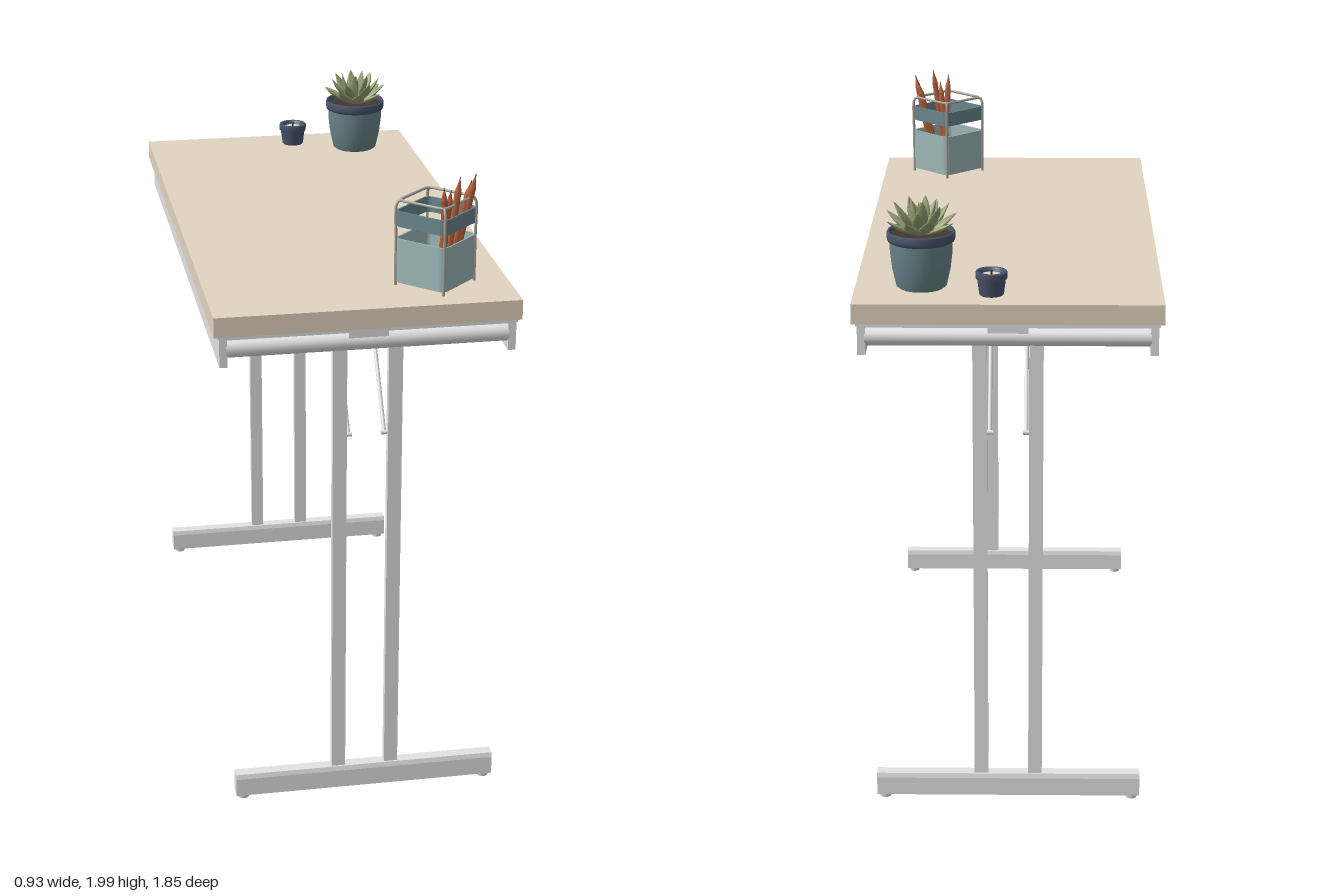
import * as THREE from 'three';

const mat = (name, color, side = THREE.FrontSide) => {
  const m = new THREE.MeshStandardMaterial({ color, side });
  m.name = name;
  return m;
};
const M = {
  top: mat('beige laminate', 0xe2d4c0),
  steel: mat('pale grey steel', 0xe3e3e3),
  under: mat('grey underside', 0xd4d4d4),
  box: mat('light teal', 0x9db8b9),
  teal: mat('dark teal', 0x6a868c),
  navy: mat('navy glaze', 0x4a566d),
  leaf: mat('leaf green', 0x96a273, THREE.DoubleSide),
  pencil: mat('rust pencil', 0xb5623c),
  wire: mat('warm grey wire', 0xa9a29a),
  dark: mat('dark brown', 0x43372f),
};
const V = (x, y, z) => new THREE.Vector3(x, y, z);

function add(parent, name, geo, material, x = 0, y = 0, z = 0) {
  const m = new THREE.Mesh(geo, material);
  m.name = name;
  m.position.set(x, y, z);
  parent.add(m);
  return m;
}
function group(parent, name, x = 0, y = 0, z = 0) {
  const g = new THREE.Group();
  g.name = name;
  g.position.set(x, y, z);
  parent.add(g);
  return g;
}
const box = (w, h, d) => new THREE.BoxGeometry(w, h, d);
const lathe = (pts, n = 36) => new THREE.LatheGeometry(pts.map(p => new THREE.Vector2(...p)), n);

// Cylinder or tapered bar between two points
function rod(parent, name, a, b, r, material, r2 = r, sides = 12) {
  const m = add(parent, name, new THREE.CylinderGeometry(r2, r, a.distanceTo(b), sides), material);
  m.position.copy(a).add(b).multiplyScalar(0.5);
  m.quaternion.setFromUnitVectors(V(0, 1, 0), b.clone().sub(a).normalize());
  return m;
}

// Square outline with rounded corners
function roundedSquare(path, s, r) {
  path.moveTo(s, -s + r);
  path.lineTo(s, s - r);
  path.absarc(s - r, s - r, r, 0, Math.PI / 2);
  path.lineTo(-s + r, s);
  path.absarc(-s + r, s - r, r, Math.PI / 2, Math.PI);
  path.lineTo(-s, -s + r);
  path.absarc(-s + r, -s + r, r, Math.PI, Math.PI * 1.5);
  path.lineTo(s - r, -s);
  path.absarc(s - r, -s + r, r, Math.PI * 1.5, Math.PI * 2);
  return path;
}
function squareTube(s, r, wall, h) {
  const shape = roundedSquare(new THREE.Shape(), s, r);
  if (wall) shape.holes.push(roundedSquare(new THREE.Path(), s - wall, r - wall));
  const g = new THREE.ExtrudeGeometry(shape, { depth: h, bevelEnabled: false, curveSegments: 8 });
  return g.rotateX(-Math.PI / 2);
}

// One end of the folding frame, facing +z
function legFrame(parent, name) {
  const g = group(parent, name);
  const z = 0.892;
  // Foot bar with slightly tapered upper edges
  const s = new THREE.Shape();
  [[-0.022, 0.013], [0.022, 0.013], [0.022, 0.072], [0.018, 0.087], [-0.018, 0.087], [-0.022, 0.072]]
    .forEach(([a, b], i) => (i ? s.lineTo(a, b) : s.moveTo(a, b)));
  const foot = new THREE.ExtrudeGeometry(s, { depth: 0.83, bevelEnabled: false });
  foot.translate(0, 0, -0.415).rotateY(Math.PI / 2);
  add(g, 'footBar', foot, M.steel, 0, 0, z);
  rod(g, 'crossTube', V(-0.425, 1.533, z), V(0.425, 1.533, z), 0.028, M.steel, 0.028, 20);
  add(g, 'pivotBracket', box(0.12, 0.05, 0.056), M.steel, 0, 1.552, z - 0.005);
  for (const k of [-1, 1]) {
    add(g, 'footPad', new THREE.CylinderGeometry(0.02, 0.018, 0.014, 16), M.steel, k * 0.39, 0.007, z);
    add(g, 'legPost', box(0.043, 1.43, 0.025), M.steel, k * 0.0845, 0.8, z);
    // Folding brace from the leg up to the underside
    rod(g, 'brace', V(k * 0.055, 1.225, 0.886), V(k * 0.055, 1.545, 0.655), 0.006, M.steel);
    rod(g, 'bracePin', V(k * 0.045, 1.228, 0.886), V(k * 0.075, 1.228, 0.886), 0.007, M.steel);
  }
  rod(g, 'hingePin', V(-0.062, 1.545, 0.655), V(0.062, 1.545, 0.655), 0.007, M.steel);
  rod(g, 'slideBar', V(0, 1.55, 0.71), V(0, 1.55, 0.53), 0.014, M.steel);
  return g;
}

function pencilCaddy(parent) {
  const g = group(parent, 'pencilCaddy', 0.237, 1.64, 0.728);
  const c = group(g, 'caddyBody');
  c.rotation.y = Math.PI / 4;
  const S = 0.091;
  add(c, 'lowerBox', squareTube(S, 0.022, 0.005, 0.138), M.box, 0, 0.011, 0);
  add(c, 'boxFloor', squareTube(S - 0.004, 0.018, 0, 0.006), M.teal, 0, 0.012, 0);
  add(c, 'upperBand', squareTube(S, 0.022, 0.005, 0.048), M.teal, 0, 0.187, 0);
  // Wire frame: corner posts joined by a rounded top loop
  const r = 0.0045, e = S - 0.005;
  for (const x of [-1, 1]) for (const z of [-1, 1]) {
    const post = new THREE.CatmullRomCurve3([
      V(x * e, 0, z * e), V(x * e, 0.13, z * e), V(x * e, 0.252, z * e),
      V(x * (e - 0.003), 0.262, z * (e - 0.003)), V(x * (e - 0.012), 0.267, z * (e - 0.012))]);
    add(c, 'wirePost', new THREE.TubeGeometry(post, 20, r, 8), M.wire);
  }
  const loop = roundedSquare(new THREE.Path(), e - 0.005, 0.02).getSpacedPoints(60)
    .slice(0, 60).map(p => V(p.x, 0.267, p.y));
  add(c, 'wireTopLoop', new THREE.TubeGeometry(new THREE.CatmullRomCurve3(loop, true), 80, r, 8, true), M.wire);
  // Pencils leaning inside: base x, z, then tip x, y, z
  [[0.02, 0.05, 0.0, 0.33, 0.1], [0.01, 0.07, 0.055, 0.352, 0.072], [0.05, 0.0, 0.115, 0.343, 0.02],
    [0.03, 0.015, 0.105, 0.32, 0.008], [0.0, 0.03, 0.03, 0.31, 0.065]].forEach(([bx, bz, tx, ty, tz]) => {
    const a = V(bx, 0.022, bz), b = V(tx, ty, tz);
    const at = t => a.clone().lerp(b, t);
    const p = group(g, 'pencil');
    rod(p, 'pencilShaft', a, at(0.86), 0.0105, M.pencil, 0.0105, 6);
    rod(p, 'pencilCone', at(0.86), at(0.97), 0.0105, M.pencil, 0.002, 6);
    rod(p, 'pencilLead', at(0.97), b, 0.002, M.dark, 0.0005, 6);
  });
}

// Pointed, flattened leaf that curls slightly upward
function leafGeometry(len, width) {
  const g = lathe([[0.25, 0], [0.4, 0.2], [0.5, 0.5], [0.4, 0.72], [0.18, 0.9], [0, 1]], 10);
  g.scale(width, len, width * 0.35);
  const p = g.attributes.position;
  for (let i = 0; i < p.count; i++) {
    const t = p.getY(i) / len;
    p.setZ(i, p.getZ(i) - 0.15 * len * t * t);
  }
  g.computeVertexNormals();
  return g;
}

function succulent(parent) {
  const g = group(parent, 'pottedSucculent', 0.262, 1.64, -0.735);
  add(g, 'pot', lathe([[0, 0], [0.068, 0], [0.076, 0.006], [0.088, 0.06], [0.094, 0.11], [0.095, 0.15]]), M.teal);
  add(g, 'potRim', lathe([[0.094, 0.142], [0.101, 0.146], [0.103, 0.155], [0.103, 0.17], [0.1, 0.176],
    [0.094, 0.172], [0.092, 0.15]]), M.navy);
  add(g, 'soil', new THREE.CylinderGeometry(0.094, 0.09, 0.01, 32), M.dark, 0, 0.157, 0);
  const leaves = group(g, 'leaves', 0, 0.165, 0);
  // Rings: count, tilt, length, width, start radius
  [[9, 1.2, 0.112, 0.046, 0.012], [7, 0.85, 0.118, 0.044, 0.01], [5, 0.45, 0.112, 0.038, 0.008],
    [3, 0.15, 0.095, 0.028, 0.004]].forEach(([n, tilt, len, w, r0], ring) => {
    const geo = leafGeometry(len, w);
    for (let i = 0; i < n; i++) {
      const arm = group(leaves, 'leafArm');
      arm.rotation.y = (i / n) * Math.PI * 2 + ring * 0.4;
      add(arm, 'leaf', geo, M.leaf, 0, 0, r0).rotation.x = tilt + 0.1 * Math.sin(i * 2.3 + ring);
    }
  });
}

function candle(parent) {
  const g = group(parent, 'candle', 0.05, 1.64, -0.818);
  add(g, 'candleCup', lathe([[0, 0], [0.034, 0], [0.037, 0.004], [0.043, 0.05], [0.047, 0.052], [0.048, 0.07],
    [0.045, 0.074], [0.034, 0.072], [0.029, 0.05]]), M.navy);
  add(g, 'wax', new THREE.CylinderGeometry(0.031, 0.03, 0.01, 28), M.top, 0, 0.057, 0);
  add(g, 'wick', new THREE.CylinderGeometry(0.003, 0.003, 0.016, 8), M.dark, 0, 0.068, 0);
}

export function createModel() {
  const root = new THREE.Group();
  root.name = 'foldingTable';
  // Top slab, underside panel and steel apron
  add(root, 'tableTop', box(0.925, 0.062, 1.845), M.top, 0, 1.609, 0);
  add(root, 'undersidePanel', box(0.87, 0.008, 1.82), M.under, 0, 1.574, 0);
  for (const k of [-1, 1]) {
    add(root, 'sideRail', box(0.024, 0.097, 1.832), M.steel, k * 0.434, 1.5295, 0);
    add(root, 'railFlange', box(0.05, 0.008, 1.832), M.steel, k * 0.425, 1.573, 0);
    add(root, 'endStrip', box(0.85, 0.012, 0.02), M.steel, 0, 1.572, k * 0.905);
  }
  legFrame(root, 'frontLegFrame');
  legFrame(root, 'backLegFrame').rotation.y = Math.PI;
  pencilCaddy(root);
  succulent(root);
  candle(root);
  return root;
}
